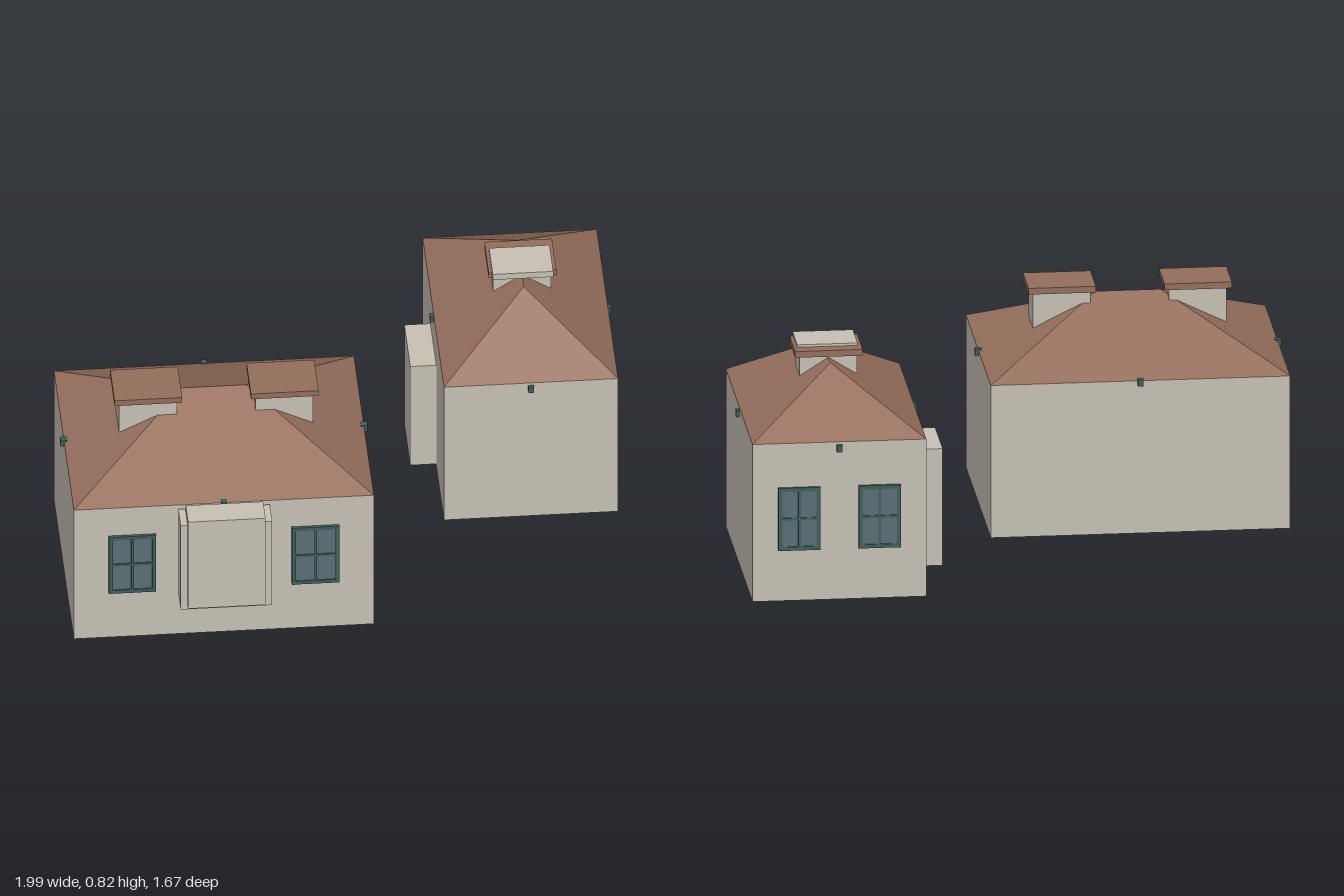
import * as THREE from 'three';

const mat = (color, extra) => new THREE.MeshStandardMaterial({ color, ...extra });
const WALL = mat(0xc8c2b6);
const ROOF = mat(0x966f5c, { flatShading: true, side: THREE.DoubleSide });
const TRIM = mat(0x3f5f5a);
const GLASS = mat(0x5a7076);
const BASE = mat(0x55605e);

// Box given by centre x/z, bottom and top heights
function block(parent, name, material, w, d, y0, y1, x = 0, z = 0) {
  const mesh = new THREE.Mesh(new THREE.BoxGeometry(w, y1 - y0, d), material);
  mesh.name = name;
  mesh.position.set(x, (y0 + y1) / 2, z);
  parent.add(mesh);
  return mesh;
}

// Hip roof with equal slopes; the ridge runs along the longer side
function hipRoof(w, d, y0, y1) {
  const a = w / 2, b = d / 2, r = Math.abs(a - b);
  const alongX = w > d;
  const p = [
    [-a, y0, b], [a, y0, b], [a, y0, -b], [-a, y0, -b],
    alongX ? [-r, y1, 0] : [0, y1, r],
    alongX ? [r, y1, 0] : [0, y1, -r],
  ];
  const faces = alongX
    ? [0, 1, 5, 0, 5, 4, 1, 2, 5, 2, 3, 4, 2, 4, 5, 3, 0, 4]
    : [0, 1, 4, 1, 2, 5, 1, 5, 4, 2, 3, 5, 3, 0, 4, 3, 4, 5];
  const g = new THREE.BufferGeometry();
  g.setAttribute('position', new THREE.Float32BufferAttribute(faces.flatMap(i => p[i]), 3));
  g.computeVertexNormals();
  const mesh = new THREE.Mesh(g, ROOF);
  mesh.name = 'hipRoof';
  return mesh;
}

// Window of four panes, facing +z
function makeWindow(w, h) {
  const g = new THREE.Group();
  g.name = 'window';
  const t = 0.014;
  block(g, 'pane', GLASS, w - t, 0.008, -h / 2 + t / 2, h / 2 - t / 2);
  for (const s of [-1, 0, 1]) {
    const bar = s === 0 ? 0.009 : t;
    block(g, 'verticalBar', TRIM, bar, 0.018, -h / 2, h / 2, s * (w - t) / 2);
    const y = s * (h - t) / 2;
    block(g, 'horizontalBar', TRIM, w, 0.016, y - bar / 2, y + bar / 2);
  }
  return g;
}

function addWindows(parent, w, h, y, offset, z, turn) {
  for (const s of [-1, 1]) {
    const win = makeWindow(w, h);
    win.position.set(s * offset, y, z);
    win.rotation.y = turn;
    parent.add(win);
  }
}

function addChimney(parent, x, z, y0) {
  const g = new THREE.Group();
  g.name = 'chimney';
  block(g, 'chimneyStack', WALL, 0.205, 0.145, y0, 0.79);
  block(g, 'chimneyCap', ROOF, 0.24, 0.185, 0.79, 0.813);
  g.position.set(x, 0, z);
  parent.add(g);
}

// Shared shell: floor plate, walls, roof and a small fitting under each eave
function makeHouse(name, w, d, wallTop, ridgeTop, x, z) {
  const g = new THREE.Group();
  g.name = name;
  block(g, 'floorPlate', BASE, w - 0.012, d - 0.012, 0, 0.004);
  block(g, 'walls', WALL, w, d, 0.002, wallTop);
  g.add(hipRoof(w, d, wallTop, ridgeTop));
  for (const s of [-1, 1]) {
    block(g, 'eaveFitting', TRIM, 0.025, 0.025, 0.55, 0.575, s * w / 2, 0);
    block(g, 'eaveFitting', TRIM, 0.02, 0.025, 0.55, 0.575, 0, s * d / 2);
  }
  g.position.set(x, 0, z);
  g.rotation.y = 0.028;
  return g;
}

export function createModel() {
  const model = new THREE.Group();
  model.name = 'twoHouses';

  // Wide house with a pair of chimneys and a projecting bay
  const wide = makeHouse('wideHouse', 1.065, 0.835, 0.567, 0.772, -0.447, 0.285);
  for (const s of [-1, 1]) addChimney(wide, s * 0.242, 0.02, 0.655);
  addWindows(wide, 0.168, 0.247, 0.323, 0.325, 0.42, 0);
  block(wide, 'bay', WALL, 0.325, 0.1, 0.187, 0.555, 0, 0.476);
  block(wide, 'bayFront', WALL, 0.275, 0.1, 0.202, 0.582, 0, 0.493);
  model.add(wide);

  // Narrow house with one chimney, side porch and back windows
  const narrow = makeHouse('narrowHouse', 0.618, 0.895, 0.585, 0.782, 0.676, -0.373);
  addChimney(narrow, 0, -0.003, 0.715);
  block(narrow, 'chimneySlab', WALL, 0.215, 0.158, 0.798, 0.822, 0, 0.033);
  addWindows(narrow, 0.15, 0.232, 0.306, 0.143, -0.45, Math.PI);
  block(narrow, 'porch', WALL, 0.095, 0.25, 0.012, 0.445, -0.354, 0);
  block(narrow, 'porchStep', ROOF, 0.03, 0.17, 0, 0.014, -0.368, 0);
  model.add(narrow);

  return model;
}
